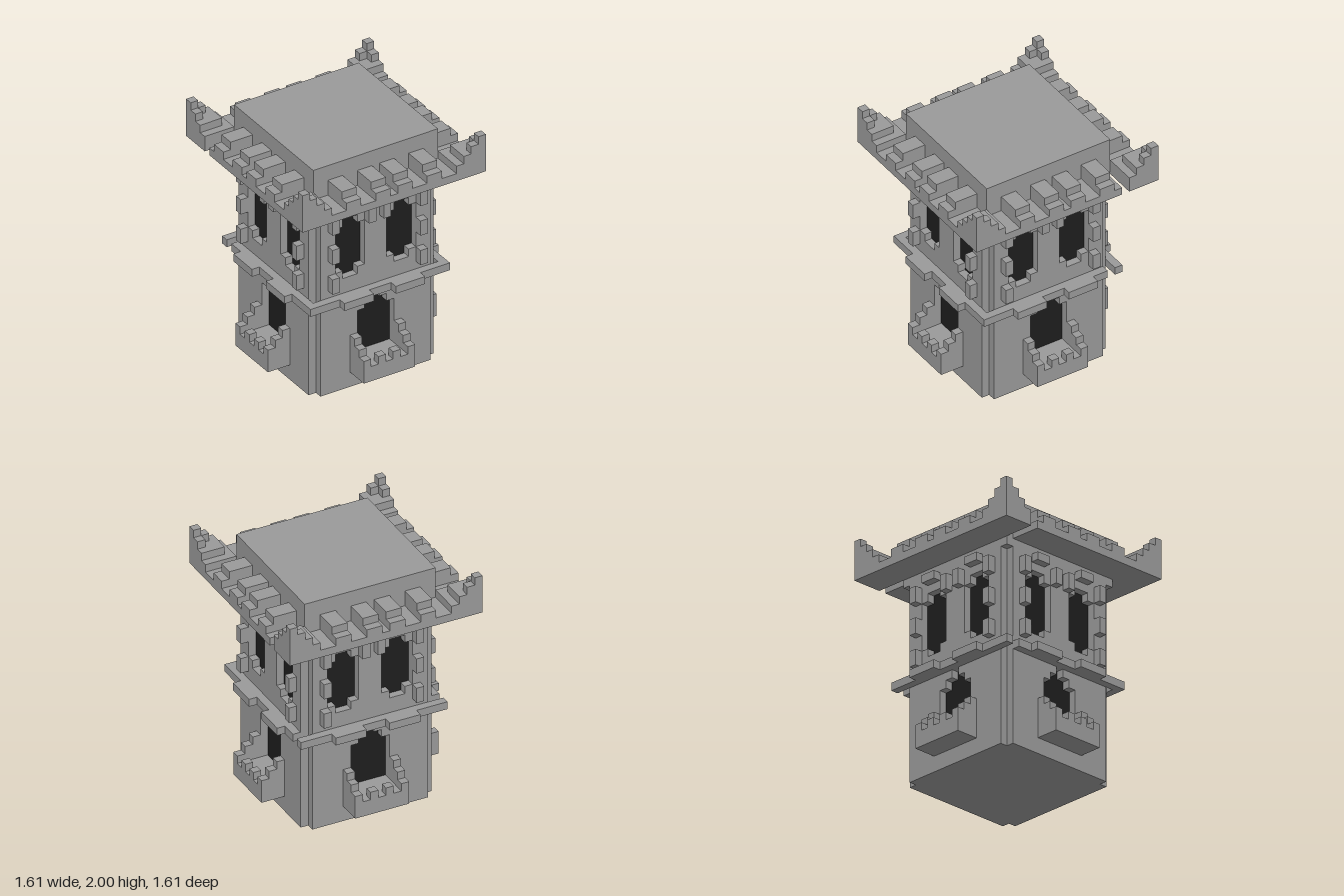
import * as THREE from 'three';

const U = 2 / 31; // one block; all sizes below are in blocks

export function createModel() {
  const stone = new THREE.MeshStandardMaterial({ color: 0x9a9a9a });
  stone.name = 'grey stone';
  const dark = new THREE.MeshStandardMaterial({ color: 0x1e1e1e });
  dark.name = 'dark opening';

  const tower = new THREE.Group();
  tower.name = 'tower';

  // Box given by its limits on each axis
  function block(parent, name, x0, x1, y0, y1, z0, z1) {
    const mesh = new THREE.Mesh(new THREE.BoxGeometry(x1 - x0, y1 - y0, z1 - z0), stone);
    mesh.position.set((x0 + x1) / 2, (y0 + y1) / 2, (z0 + z1) / 2);
    mesh.name = name;
    parent.add(mesh);
  }

  // Stepped outlines of the openings
  const points = (list) => list.map(([x, y]) => new THREE.Vector2(x, y));
  const windowOutline = (c) => points([
    [-1, 15], [1, 15], [1, 16], [2, 16], [2, 22], [1, 22],
    [1, 23], [-1, 23], [-1, 22], [-2, 22], [-2, 16], [-1, 16],
  ].map(([x, y]) => [x + c, y]));
  const doorOutline = points([
    [-2.5, 4], [2.5, 4], [2.5, 10], [1.5, 10], [1.5, 11], [0.5, 11],
    [0.5, 12], [-0.5, 12], [-0.5, 11], [-1.5, 11], [-1.5, 10], [-2.5, 10],
  ]);
  const openings = [
    ['windowOpening', windowOutline(-3.5)],
    ['windowOpening', windowOutline(3.5)],
    ['doorOpening', doorOutline],
  ];

  function addWall(side) {
    const shape = new THREE.Shape(points([[-7.5, 0], [7.5, 0], [7.5, 25], [-7.5, 25]]));
    openings.forEach(([, outline]) => shape.holes.push(new THREE.Path(outline)));
    const wall = new THREE.Mesh(
      new THREE.ExtrudeGeometry(shape, { depth: 1, bevelEnabled: false }), stone);
    wall.position.z = 7.5;
    wall.name = 'wall';
    side.add(wall);
    for (const [name, outline] of openings) {
      const panel = new THREE.Mesh(new THREE.ShapeGeometry(new THREE.Shape(outline)), dark);
      panel.position.z = 7.55;
      panel.name = name;
      side.add(panel);
    }
  }

  function addWindowTrim(side) {
    for (const s of [-1, 1]) {
      const trim = (a, b, y0, y1) =>
        block(side, 'windowTrim', Math.min(a * s, b * s), Math.max(a * s, b * s), y0, y1, 8.5, 9.5);
      for (const y of [14, 18, 22]) trim(5.5, 6.5, y, y + 2);
      trim(0.5, 1.5, 22, 24);
      trim(2.5, 4.5, 24, 25);
    }
  }

  function addBalcony(side) {
    block(side, 'balconyFloor', -3.5, 3.5, 2, 4, 8.5, 11.5);
    for (const s of [-1, 1]) {
      for (let i = 0; i < 3; i++) {
        block(side, 'balconySide', 3 * s - 0.5, 3 * s + 0.5, 4, 7 - i, 8.5 + i, 9.5 + i);
      }
      block(side, 'balconyMerlon', s - 0.5, s + 0.5, 4, 5, 10.5, 11.5);
    }
  }

  // Ledge between storeys, with a deeper sill below each window
  function addLedge(side, x0, x1) {
    block(side, 'ledge', x0, x1, 12, 13, 8.5, 9.5);
    for (const c of [-3.5, 3.5]) block(side, 'sill', c - 2, c + 2, 12, 13, 9.5, 10.5);
  }

  function addEave(side, x0, x1) {
    block(side, 'eave', x0, x1, 26, 27, 8.5, 12.5);
    for (const c of [-5.5, -1.5, 1.5, 5.5]) {
      block(side, 'eaveTile', c - 1, c + 1, 27, 29, 8.5, 11.5);
      block(side, 'eaveTileEnd', c - 1, c + 1, 27, 28, 11.5, 12.5);
    }
  }

  // Core and flat roof
  block(tower, 'core', -7.5, 7.5, 0, 25, -7.5, 7.5);
  block(tower, 'roof', -8.5, 8.5, 25, 31, -8.5, 8.5);

  // Four sides; ledge and eave of the two flanks stop short of the back
  const spans = [
    { name: 'frontSide', ledge: [-9.5, 9.5], eave: [-8.5, 8.5] },
    { name: 'rightSide', ledge: [-8.5, 7.5], eave: [-8.5, 7.5] },
    { name: 'backSide', ledge: [-9.5, 9.5], eave: [-8.5, 8.5] },
    { name: 'leftSide', ledge: [-7.5, 8.5], eave: [-7.5, 8.5] },
  ];
  spans.forEach(({ name, ledge, eave }, i) => {
    const side = new THREE.Group();
    side.name = name;
    side.rotation.y = i * Math.PI / 2;
    addWall(side);
    addWindowTrim(side);
    addBalcony(side);
    addLedge(side, ...ledge);
    addEave(side, ...eave);
    tower.add(side);
  });

  // Stepped, upturned eave corners
  for (let i = 0; i < 4; i++) {
    const corner = new THREE.Group();
    corner.name = 'eaveCorner';
    corner.rotation.y = i * Math.PI / 2;
    block(corner, 'cornerBase', 8.5, 12.5, 26, 28, 8.5, 12.5);
    block(corner, 'cornerStep', 9.5, 12.5, 28, 29, 9.5, 12.5);
    block(corner, 'cornerRidge', 10.5, 12.5, 29, 30, 11.5, 12.5);
    block(corner, 'cornerRidge', 11.5, 12.5, 29, 30, 10.5, 11.5);
    block(corner, 'cornerTip', 11.5, 12.5, 30, 31, 11.5, 12.5);
    tower.add(corner);
  }

  tower.scale.setScalar(U);
  const model = new THREE.Group();
  model.name = 'model';
  model.add(tower);
  return model;
}
